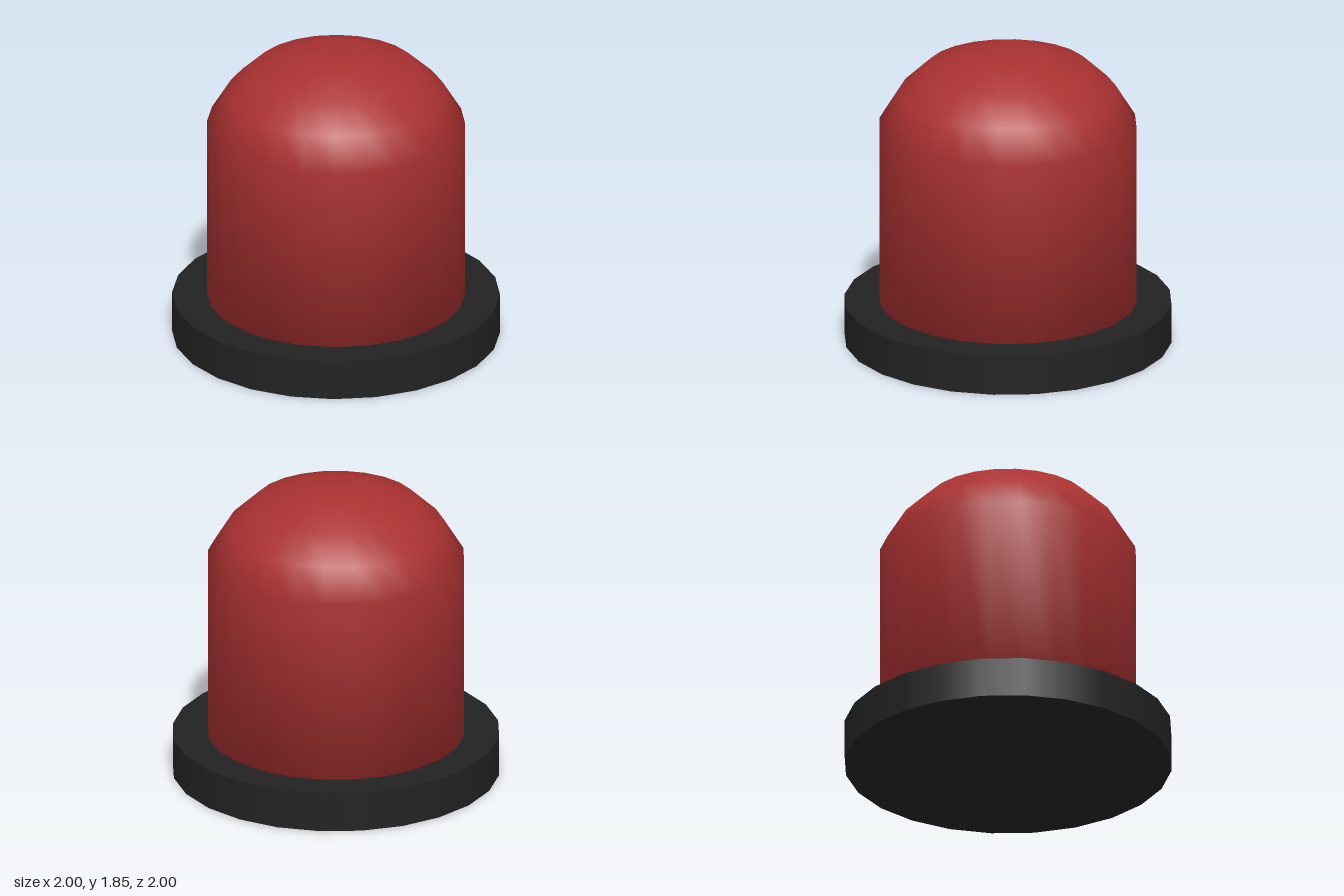
import * as THREE from 'three';

const SIDES = 24;

export function createModel() {
  const model = new THREE.Group();
  model.name = 'beaconLight';

  const red = new THREE.MeshStandardMaterial({ color: 0xaa3131 });
  red.name = 'red lens';
  const black = new THREE.MeshStandardMaterial({ color: 0x222222 });
  black.name = 'black base';

  // Round mounting base
  const base = new THREE.Mesh(new THREE.CylinderGeometry(1, 1, 0.25, SIDES), black);
  base.name = 'base';
  base.position.y = 0.125;
  model.add(base);

  // Domed lens, smooth all over, closed underneath
  const profile = [
    [0, 0.25], [0.785, 0.25], [0.785, 1.405], [0.665, 1.6],
    [0.5, 1.755], [0.23, 1.85], [0, 1.85],
  ].map(([r, y]) => new THREE.Vector2(r, y));
  const lens = new THREE.Mesh(new THREE.LatheGeometry(profile, SIDES), red);
  lens.name = 'lens';
  model.add(lens);

  return model;
}
